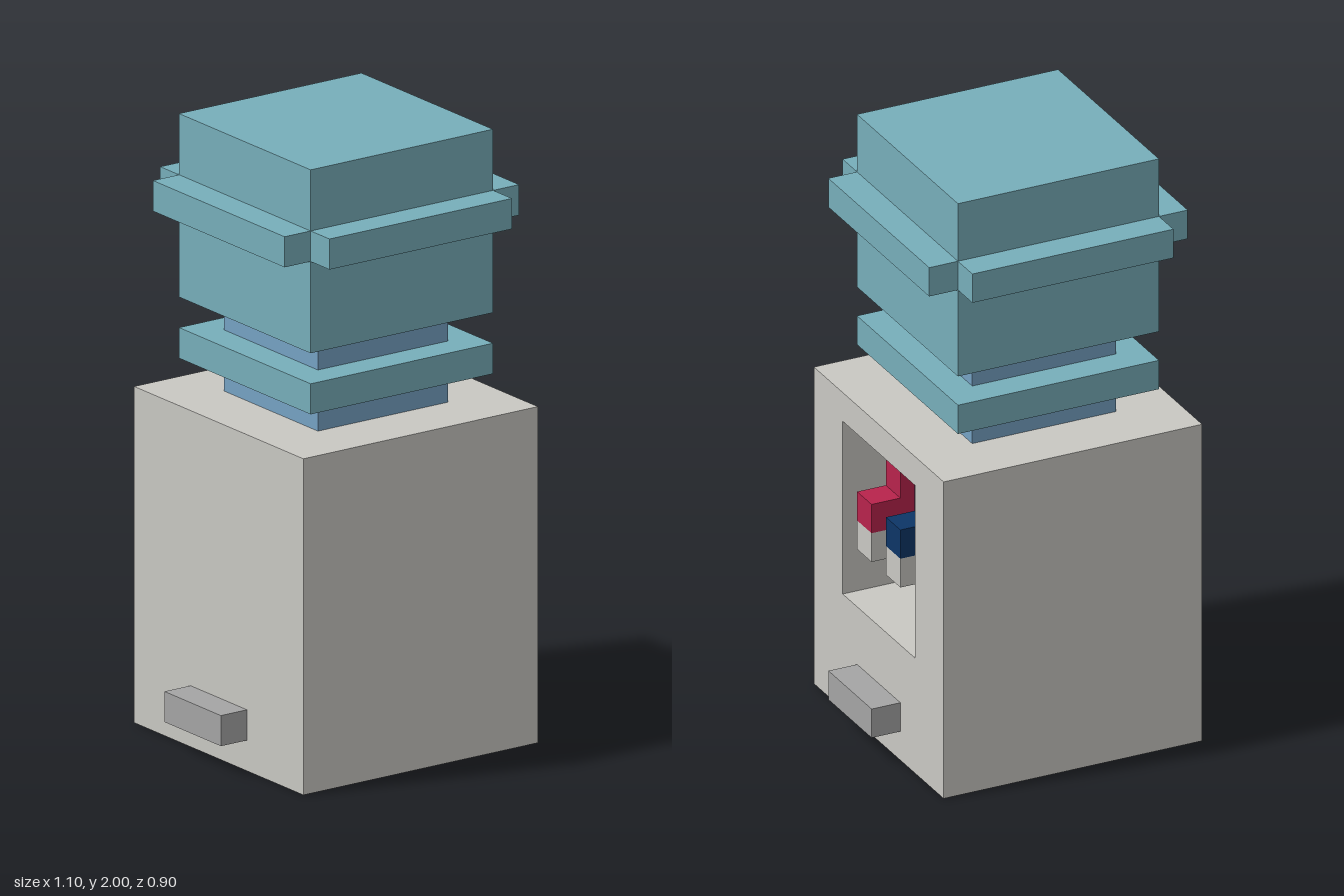
import * as THREE from 'three';

const flat = (name, color) => {
  const m = new THREE.MeshStandardMaterial({ color });
  m.name = name;
  return m;
};

export function createModel() {
  const casing = flat('casing grey', 0xc9c8c3);
  const tray = flat('handle grey', 0xa5a5a5);
  const bottleTeal = flat('bottle teal', 0x77aeba);
  const neckBlue = flat('neck blue', 0x76a2c4);
  const hotRed = flat('hot red', 0xb8234c);
  const coldBlue = flat('cold blue', 0x0d3567);

  const model = new THREE.Group();
  model.name = 'waterCooler';

  // Box given by its ranges along x, y and z
  const box = (name, mat, [x0, x1], [y0, y1], [z0, z1], parent = model) => {
    const mesh = new THREE.Mesh(new THREE.BoxGeometry(x1 - x0, y1 - y0, z1 - z0), mat);
    mesh.position.set((x0 + x1) / 2, (y0 + y1) / 2, (z0 + z1) / 2);
    mesh.name = name;
    parent.add(mesh);
    return mesh;
  };
  const span = (r) => [-r, r];

  // Cabinet: solid rear half, and a frame around the tap recess on the left side
  const recessBack = -0.05;
  const cabinet = new THREE.Group();
  cabinet.name = 'cabinet';
  model.add(cabinet);
  box('cabinetBlock', casing, [-0.45, recessBack], [0, 1.1], span(0.45), cabinet);

  const rect = (path, x, y0, y1) =>
    path.moveTo(-x, y0).lineTo(x, y0).lineTo(x, y1).lineTo(-x, y1).closePath();
  const outline = new THREE.Shape();
  rect(outline, 0.45, 0, 1.1);
  const opening = new THREE.Path();
  rect(opening, 0.25, 0.4, 1.0);
  outline.holes.push(opening);
  const frameGeo = new THREE.ExtrudeGeometry(outline, { depth: 0.45 - recessBack, bevelEnabled: false });
  frameGeo.rotateY(Math.PI / 2);
  const frame = new THREE.Mesh(frameGeo, casing);
  frame.position.x = recessBack;
  frame.name = 'recessFrame';
  cabinet.add(frame);

  // Taps: a pipe from the recess wall and a spout with a coloured top half
  for (const [name, mat, z] of [['hotTap', hotRed, 0.1], ['coldTap', coldBlue, -0.1]]) {
    const tap = new THREE.Group();
    tap.name = name;
    model.add(tap);
    const zs = [z - 0.05, z + 0.05];
    // the pipe has a plain underside
    box('pipe', [mat, mat, mat, casing, mat, mat], [recessBack, 0.35], [0.7, 0.9], zs, tap);
    box('spoutTop', mat, [0.35, 0.45], [0.7, 0.8], zs, tap);
    box('spoutTip', casing, [0.35, 0.45], [0.6, 0.7], zs, tap);
  }

  // Side handles
  box('leftHandle', tray, [0.45, 0.55], [0.1, 0.2], span(0.15));
  box('rightHandle', tray, [-0.55, -0.45], [0.1, 0.2], span(0.15));

  // Bottle: neck, collar and body
  box('neck', neckBlue, span(0.25), [1.1, 1.4], span(0.25));
  box('collar', bottleTeal, span(0.35), [1.2, 1.3], span(0.35));
  box('bottle', bottleTeal, span(0.35), [1.4, 2.0], span(0.35));

  // Raised rib: one bar on each side, open at the corners
  for (let i = 0; i < 4; i++) {
    const side = new THREE.Group();
    side.name = 'bottleRib';
    side.rotation.y = (i * Math.PI) / 2;
    box('ribBar', bottleTeal, [0.35, 0.45], [1.7, 1.8], span(0.35), side);
    model.add(side);
  }
  return model;
}
